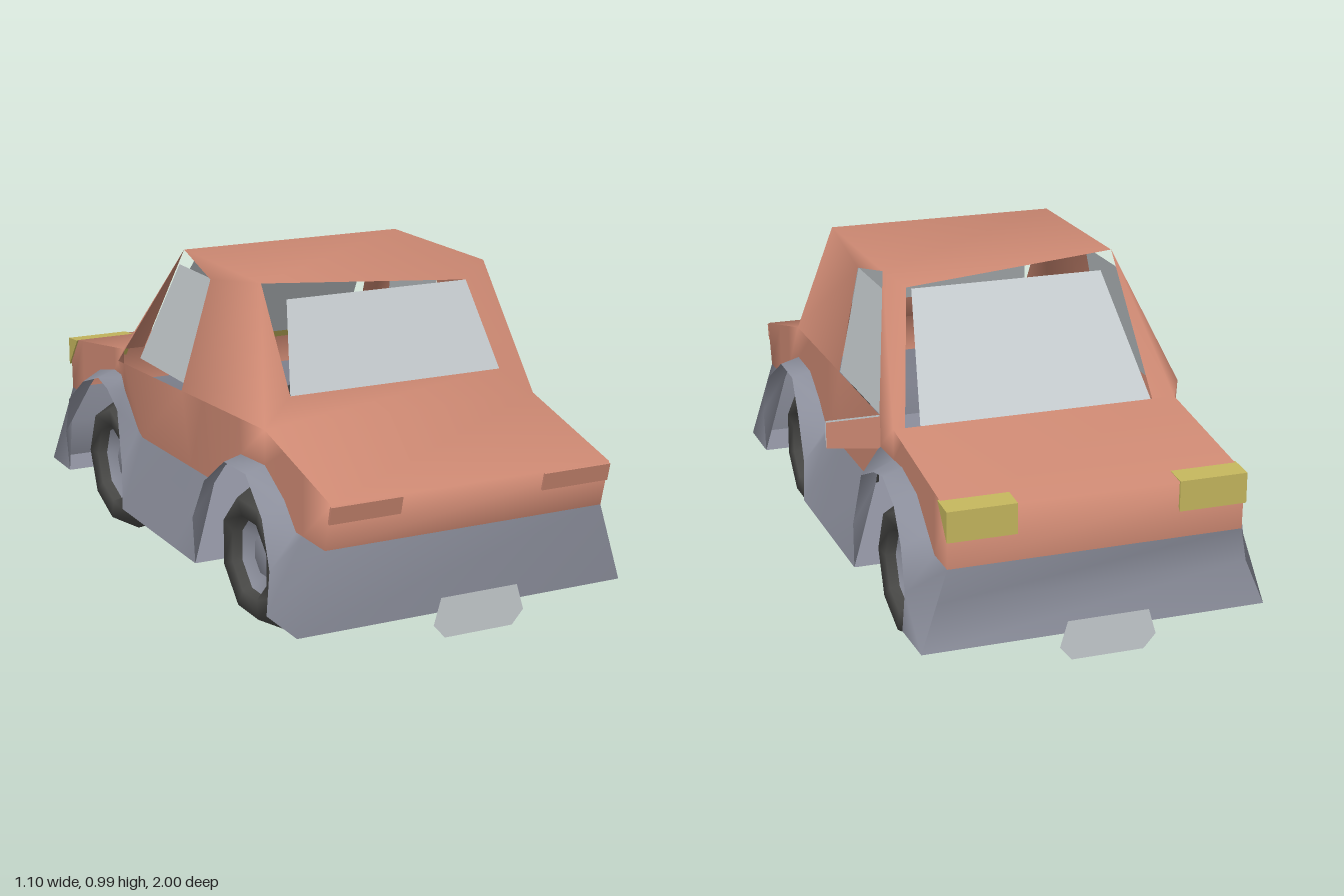
import * as THREE from 'three';
import { mergeVertices } from 'three/addons/utils/BufferGeometryUtils.js';

const flat = (color, name) => {
  const m = new THREE.MeshStandardMaterial({ color, side: THREE.DoubleSide });
  m.name = name;
  return m;
};

// The whole car sits slightly off centre, with a bulge on one side
const CX = -0.04;
const lerp = THREE.MathUtils.lerp;
function bulge(y, z) {
  const along = z > -0.32 ? (0.57 - z) / 0.89 : (z + 0.45) / 0.13;
  const up = y > 0.625 ? 1 - (y - 0.625) / 0.37 : 1 - (0.625 - y) / 0.35;
  return 0.07 * Math.max(0, along) * Math.max(0, up);
}
// Point at half width hw on side s
const at = (s, hw, y, z) => [CX + s * hw, y, z];
// Point on the painted skin, leaning in above the shoulder
function skin(s, y, z) {
  const hw = 0.43 - 0.2 * Math.max(0, y - 0.625);
  return at(s, hw + (s < 0 ? bulge(y, z) : 0), y, z);
}

// Smooth surface from a list of 3- or 4-cornered faces
function surface(name, material, faces) {
  const pos = [];
  for (const f of faces)
    for (let i = 2; i < f.length; i++) pos.push(...f[0], ...f[i - 1], ...f[i]);
  let g = new THREE.BufferGeometry();
  g.setAttribute('position', new THREE.Float32BufferAttribute(pos, 3));
  g = mergeVertices(g, 1e-4);
  g.computeVertexNormals();
  const mesh = new THREE.Mesh(g, material);
  mesh.name = name;
  return mesh;
}
const side = (s, face) => (s > 0 ? face : face.slice().reverse());

// Lower edge of the paint [z, y] and lower edge of the skirt below it
const SILL = [
  [0.93, 0.39], [0.8, 0.39], [0.76, 0.39], [0.69, 0.46], [0.57, 0.525], [0.43, 0.52], [0.33, 0.46], [0.25, 0.39], [0.22, 0.39],
  [0.09, 0.39], [-0.26, 0.39], [-0.28, 0.41], [-0.32, 0.53], [-0.45, 0.535], [-0.53, 0.54], [-0.66, 0.51], [-0.76, 0.43], [-0.81, 0.39], [-0.915, 0.39],
];
const SKIRT = [
  [0.92, 0.155], [0.735, 0.155], [0.755, 0.29], [0.7, 0.42], [0.57, 0.508], [0.43, 0.505], [0.32, 0.42], [0.245, 0.29], [0.26, 0.155],
  [0.09, 0.155], [-0.3, 0.155], [-0.295, 0.29], [-0.35, 0.46], [-0.45, 0.505], [-0.53, 0.52], [-0.65, 0.48], [-0.75, 0.4], [-0.785, 0.28], [-0.76, 0.155],
];

function shoulderY(z) {
  if (z > 0.57) return lerp(0.625, 0.525, (z - 0.57) / 0.395);
  if (z < -0.45) return lerp(0.625, 0.555, (-0.45 - z) / 0.47);
  return 0.625;
}

function createBody(paint) {
  const n = SILL.length - 1;
  const sill = (s, i) => skin(s, SILL[i][1], SILL[i][0]);
  const shoulder = (s, i) => {
    const z = i === 0 ? 0.965 : i === n ? -0.92 : SILL[i][0];
    return skin(s, shoulderY(z), z);
  };
  const faces = [];
  const base = (s, z) => skin(s, 0.625, z);
  const roofF = (s) => skin(s, 0.992, 0.4), roofB = (s) => skin(s, 0.992, -0.13);
  for (const s of [1, -1]) {
    for (let i = 0; i < n; i++)
      faces.push(side(s, [sill(s, i), sill(s, i + 1), shoulder(s, i + 1), shoulder(s, i)]));
    // Cabin side around the window opening
    const winTop = skin(s, 0.945, 0.09);
    faces.push(
      side(s, [base(s, 0.57), base(s, 0.09), winTop, roofF(s)]),
      side(s, [roofF(s), winTop, roofB(s)]),
      side(s, [base(s, -0.32), base(s, -0.45), roofB(s)]));
  }
  // Roof, decks and end faces
  const L = -1, R = 1;
  faces.push(
    [roofF(L), roofF(R), roofB(R), roofB(L)],
    [shoulder(L, 0), shoulder(R, 0), base(R, 0.57), base(L, 0.57)],
    [base(L, -0.45), base(R, -0.45), shoulder(R, n), shoulder(L, n)],
    [sill(L, 0), sill(R, 0), shoulder(R, 0), shoulder(L, 0)],
    [sill(R, n), sill(L, n), shoulder(L, n), shoulder(R, n)]);
  // Window frame on the +z slope
  const bl = [-0.375, 0.7, 0.536], br = [0.295, 0.7, 0.536], tr = [0.245, 0.945, 0.423];
  faces.push(
    [base(L, 0.57), base(R, 0.57), br, bl],
    [base(R, 0.57), roofF(R), tr, br],
    [roofF(R), roofF(L), tr],
    [base(L, 0.57), bl, roofF(L)]);
  // Window frame on the -z slope
  const bl2 = [-0.4, 0.625, -0.45], br2 = [0.355, 0.625, -0.45], tr2 = [0.26, 0.95, -0.175];
  faces.push(
    [base(R, -0.45), br2, tr2, roofB(R)],
    [bl2, base(L, -0.45), roofB(L)],
    [roofB(R), tr2, roofB(L)]);
  return surface('body', paint, faces);
}

function createSkirt(trim) {
  const faces = [];
  const top = (s, i) => skin(s, SILL[i][1], SILL[i][0]);
  const low = (s, i) => at(s, 0.507 - 0.15 * Math.max(0, SKIRT[i][1] - 0.39), SKIRT[i][1], SKIRT[i][0]);
  const n = SILL.length - 1;
  const tail = (s) => at(s, 0.505, 0.155, -0.92);
  for (const s of [1, -1]) {
    for (let i = 0; i < n - 1; i++)
      faces.push(side(s, [low(s, i), low(s, i + 1), top(s, i + 1), top(s, i)]));
    faces.push(side(s, [low(s, n - 1), low(s, n), tail(s), top(s, n)]), side(s, [low(s, n - 1), top(s, n), top(s, n - 1)]));
  }
  // Bumper faces, the -z one pinched in
  const pinch = (s) => at(s, 0.46, 0.28, -0.89);
  faces.push(
    [low(-1, 0), low(1, 0), top(1, 0), top(-1, 0)],
    [tail(1), tail(-1), pinch(-1), pinch(1)],
    [pinch(1), pinch(-1), top(-1, n), top(1, n)]);
  return surface('skirtAndBumpers', trim, faces);
}

// Floor pan, narrow between the wheels
function createFloor(trim) {
  const spans = [[0.92, 0.735, 0.505], [0.735, 0.26, 0.28], [0.26, -0.3, 0.505], [-0.3, -0.76, 0.28], [-0.76, -0.92, 0.505]];
  return surface('floor', trim, spans.map(([a, b, w]) =>
    [at(1, w, 0.155, a), at(-1, w, 0.155, a), at(-1, w, 0.155, b), at(1, w, 0.155, b)]));
}

function createWheel(name, s, z, y, k, phase, rubber, trim) {
  const wheel = new THREE.Group();
  wheel.name = name;
  const part = (partName, pts, material) => {
    const g = new THREE.LatheGeometry(pts.map(([r, h]) => new THREE.Vector2(r * k, h)), 8, phase);
    const m = new THREE.Mesh(g, material);
    m.name = partName;
    wheel.add(m);
  };
  part('tyre', [[0, -0.11], [0.195, -0.11], [0.23, 0.01], [0.18, 0.1], [0.125, 0.095], [0.115, 0.03]], rubber);
  part('hub', [[0.125, 0.07], [0.075, 0.025], [0.065, 0.05], [0, 0.05]], trim);
  wheel.rotation.z = -s * Math.PI / 2;
  wheel.position.set(CX + s * 0.35, y, z);
  return wheel;
}

export function createModel() {
  const paint = flat(0xcc8872, 'salmon paint');
  const trim = flat(0x8b8e9b, 'grey trim');
  const light = flat(0xc4cacd, 'pale grey glass');
  const rubber = flat(0x484846, 'dark rubber');
  const yellow = flat(0xc2b45c, 'yellow lamp');

  const car = new THREE.Group();
  car.name = 'car';
  car.add(createBody(paint), createSkirt(trim), createFloor(trim));

  // Windows
  car.add(
    surface('frontWindow', light, [[[-0.375, 0.7, 0.536], [0.295, 0.7, 0.536], [0.245, 0.945, 0.423], [-0.33, 0.945, 0.423]]]),
    surface('backWindow', light, [[[0.31, 0.625, -0.45], [-0.395, 0.625, -0.45], [-0.345, 0.945, -0.175], [0.245, 0.945, -0.175]]]));
  for (const s of [1, -1]) {
    const label = s > 0 ? 'left' : 'right';
    car.add(surface(label + 'Window', light, [side(s, [
      at(s, 0.428, 0.625, 0.09), at(s, 0.428, 0.625, -0.32), at(s, 0.364, 0.945, -0.15), at(s, 0.364, 0.945, 0.09)])]));

    // Wheels
    car.add(
      createWheel(label + 'FrontWheel', s, 0.495, 0.235, 0.96, Math.PI / 8, rubber, trim),
      createWheel(label + 'BackWheel', s, -0.535, 0.23, 1, 0, rubber, trim));

    // Painted lamp plate on the front, yellow wedge lamp on the back
    const plate = new THREE.Mesh(new THREE.BoxGeometry(0.212, 0.052, 0.009), paint);
    plate.name = label + 'FrontLamp';
    plate.position.set(CX + s * 0.325, 0.495, 0.959);
    plate.rotation.x = 0.25;
    car.add(plate);
    const wedge = [[0.565, -0.85], [0.558, -0.926], [0.47, -0.926]];
    const inner = wedge.map(([y, z]) => at(s, 0.235, y, z));
    const outer = wedge.map(([y, z]) => at(s, 0.435, y, z));
    const faces = [side(s, inner), side(-s, outer)];
    for (let i = 0; i < 3; i++) {
      const j = (i + 1) % 3;
      faces.push(side(s, [inner[i], outer[i], outer[j], inner[j]]));
    }
    const lamp = surface(label + 'BackLamp', yellow, faces);
    lamp.geometry = lamp.geometry.toNonIndexed();
    lamp.geometry.computeVertexNormals();
    car.add(lamp);

    // Number plates stand off both ends
    const outline = [[-0.14, 0.155], [-0.105, 0.115], [0.105, 0.115], [0.14, 0.155], [0.118, 0.23], [-0.118, 0.23]];
    car.add(surface(s > 0 ? 'frontPlate' : 'backPlate', light, [outline.map(([x, y]) => [CX + s * x, y, s])]));
  }

  // Single door mirror: pale face with a painted shell behind
  car.add(
    surface('mirrorGlass', light, [[[0.39, 0.545, -0.32], [0.55, 0.545, -0.32], [0.55, 0.625, -0.32], [0.39, 0.625, -0.32]]]),
    surface('mirrorShell', paint, [[[0.55, 0.545, -0.326], [0.39, 0.525, -0.326], [0.39, 0.622, -0.326], [0.55, 0.622, -0.326]]]));
  return car;
}
